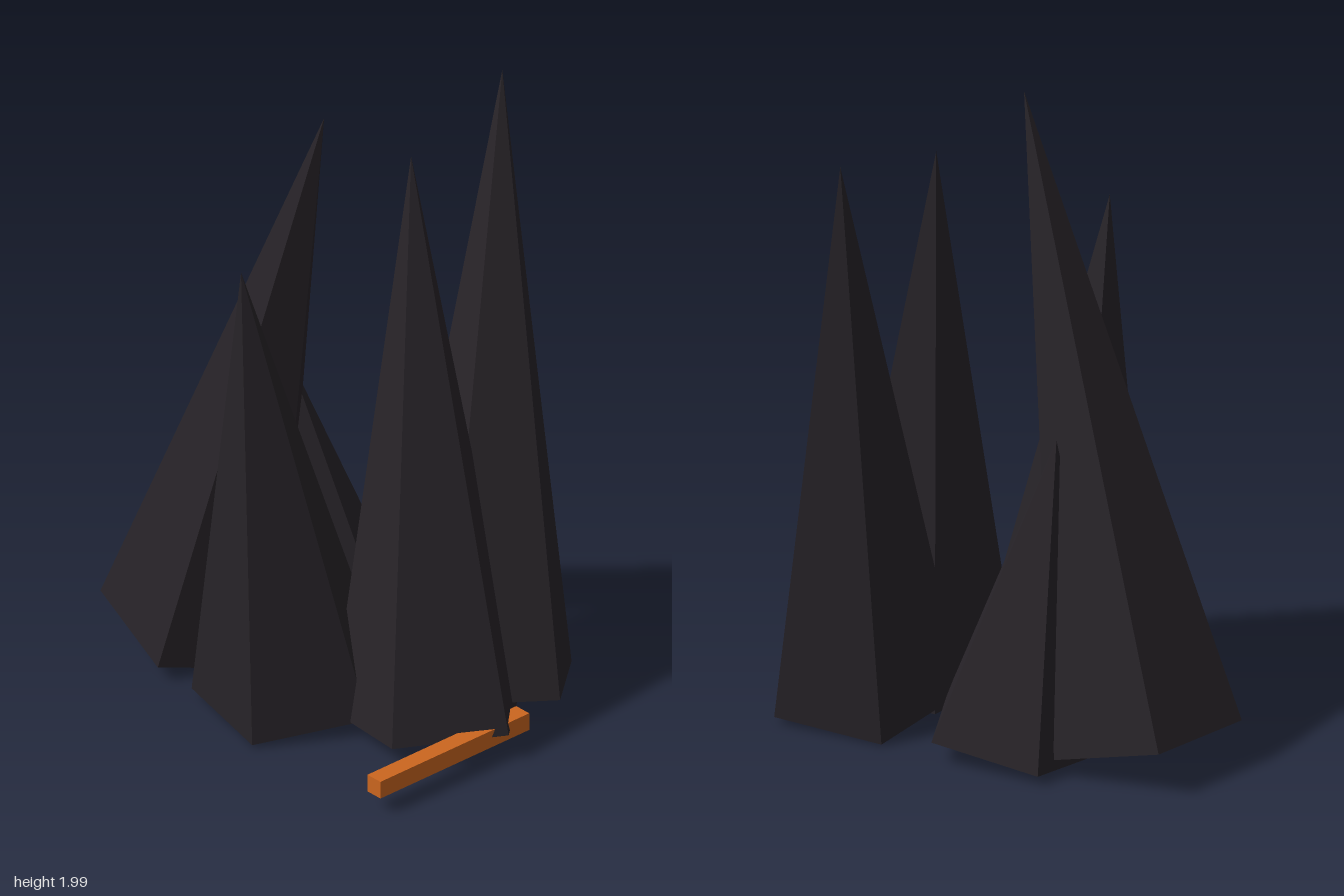
import * as THREE from 'three';

const UP = new THREE.Vector3(0, 1, 0);

// Five-sided spike: a cone from the centre of its base to its tip, base square to its axis
function makeSpike(name, base, tip, material) {
  const start = new THREE.Vector3(...base);
  const axis = new THREE.Vector3(...tip).sub(start);
  const height = axis.length();
  const geometry = new THREE.ConeGeometry(0.3, height, 5, 1, false, Math.PI);
  geometry.translate(0, height / 2, 0);
  const spike = new THREE.Mesh(geometry, material);
  spike.name = name;
  spike.quaternion.setFromUnitVectors(UP, axis.normalize());
  spike.position.copy(start);
  return spike;
}

export function createModel() {
  const model = new THREE.Group();
  model.name = 'spikeCluster';

  const dark = new THREE.MeshStandardMaterial({ color: 0x272328, flatShading: true });
  const orange = new THREE.MeshStandardMaterial({ color: 0xcc661f, flatShading: true });

  // Spikes: name, base centre, tip
  const spikes = [
    ['tallBackSpike', [-0.38, 0.085, -0.425], [-0.1, 2.0, 0.02]],
    ['leftSpike', [0.37, 0.065, 0.083], [0.5, 1.93, -0.26]],
    ['frontSpike', [0.18, 0.06, 0.245], [0.165, 1.83, 0.01]],
    ['rightSpike', [-0.195, 0.06, 0.012], [-0.38, 1.58, 0.15]],
    ['shortBackSpike', [-0.04, 0.05, -0.265], [-0.14, 1.01, -0.31]],
  ];
  for (const [name, base, tip] of spikes) model.add(makeSpike(name, base, tip, dark));

  // Square bar lying across the front
  const bar = new THREE.Mesh(new THREE.BoxGeometry(0.595, 0.057, 0.057), orange);
  bar.name = 'frontBar';
  bar.position.set(0.163, 0.088, 0.535);
  bar.rotation.y = Math.PI / 6;
  model.add(bar);

  return model;
}
